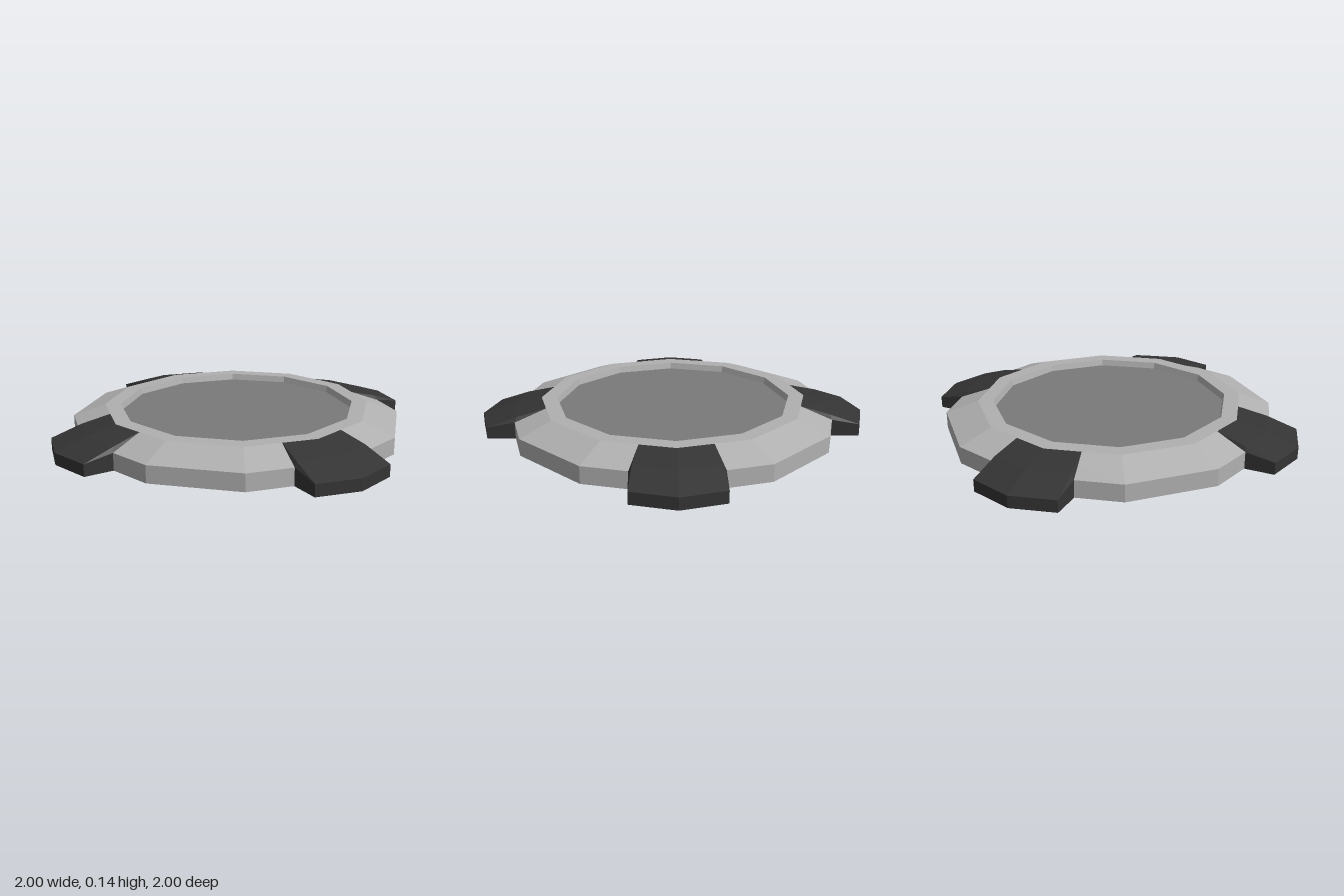
import * as THREE from 'three';

const SIDES = 12;

// Faceted twelve-sided solid of revolution from [radius, height] points
function turned(name, points, material) {
  const profile = points.map(([r, y]) => new THREE.Vector2(r, y));
  const mesh = new THREE.Mesh(new THREE.LatheGeometry(profile, SIDES), material);
  mesh.name = name;
  return mesh;
}

// Wedge-shaped clamp pointing to +z, built as one half and mirrored in x
function clampGeometry() {
  const ridgeIn = [0, 0.145, 0.69], sideIn = [0.17, 0.145, 0.645];
  const ridgeMid = [0, 0.11, 0.845], sideMid = [0.197, 0.11, 0.79];
  const ridgeOut = [0, 0.06, 1], sideOut = [0.212, 0.06, 0.942];
  const shoulder = [0.212, 0.086, 0.799];
  const floor = ([x, , z]) => [x, 0, z];
  const faces = [
    [ridgeIn, ridgeMid, sideMid, sideIn],
    [ridgeMid, ridgeOut, sideOut, sideMid],
    [ridgeOut, floor(ridgeOut), floor(sideOut), sideOut],
    [sideOut, floor(sideOut), floor(shoulder), shoulder],
    [sideOut, shoulder, sideMid],
    [sideMid, shoulder, sideIn],
    [floor(ridgeOut), [0, 0, 0.856], floor(shoulder), floor(sideOut)],
  ];
  const positions = [];
  const addFace = (face) => {
    for (let i = 1; i < face.length - 1; i++) {
      positions.push(...face[0], ...face[i], ...face[i + 1]);
    }
  };
  for (const face of faces) {
    addFace(face);
    addFace(face.map(([x, y, z]) => [-x, y, z]).reverse());
  }
  const geometry = new THREE.BufferGeometry();
  geometry.setAttribute('position', new THREE.Float32BufferAttribute(positions, 3));
  geometry.computeVertexNormals();
  return geometry;
}

export function createModel() {
  const material = (name, color) => {
    const m = new THREE.MeshStandardMaterial({ color, flatShading: true });
    m.name = name;
    return m;
  };
  const lightGrey = material('light grey', 0xb0b0b0);
  const midGrey = material('mid grey', 0x7a7a7a);
  const black = material('black', 0x343434);

  const model = new THREE.Group();
  model.name = 'landingPad';

  // Bevelled rim with a shallow recess
  model.add(turned('rim', [
    [0.856, 0], [0.856, 0.086], [0.69, 0.145], [0.61, 0.145], [0.602, 0.112],
  ], lightGrey));

  // Recessed deck and underside
  model.add(turned('deck', [[0.602, 0.112], [0, 0.112]], midGrey));
  model.add(turned('underside', [[0, 0], [0.856, 0]], midGrey));

  // Four clamps around the rim
  const geometry = clampGeometry();
  ['front', 'left', 'back', 'right'].forEach((side, i) => {
    const clamp = new THREE.Mesh(geometry, black);
    clamp.name = side + 'Clamp';
    clamp.rotation.y = (i * Math.PI) / 2;
    model.add(clamp);
  });

  return model;
}
